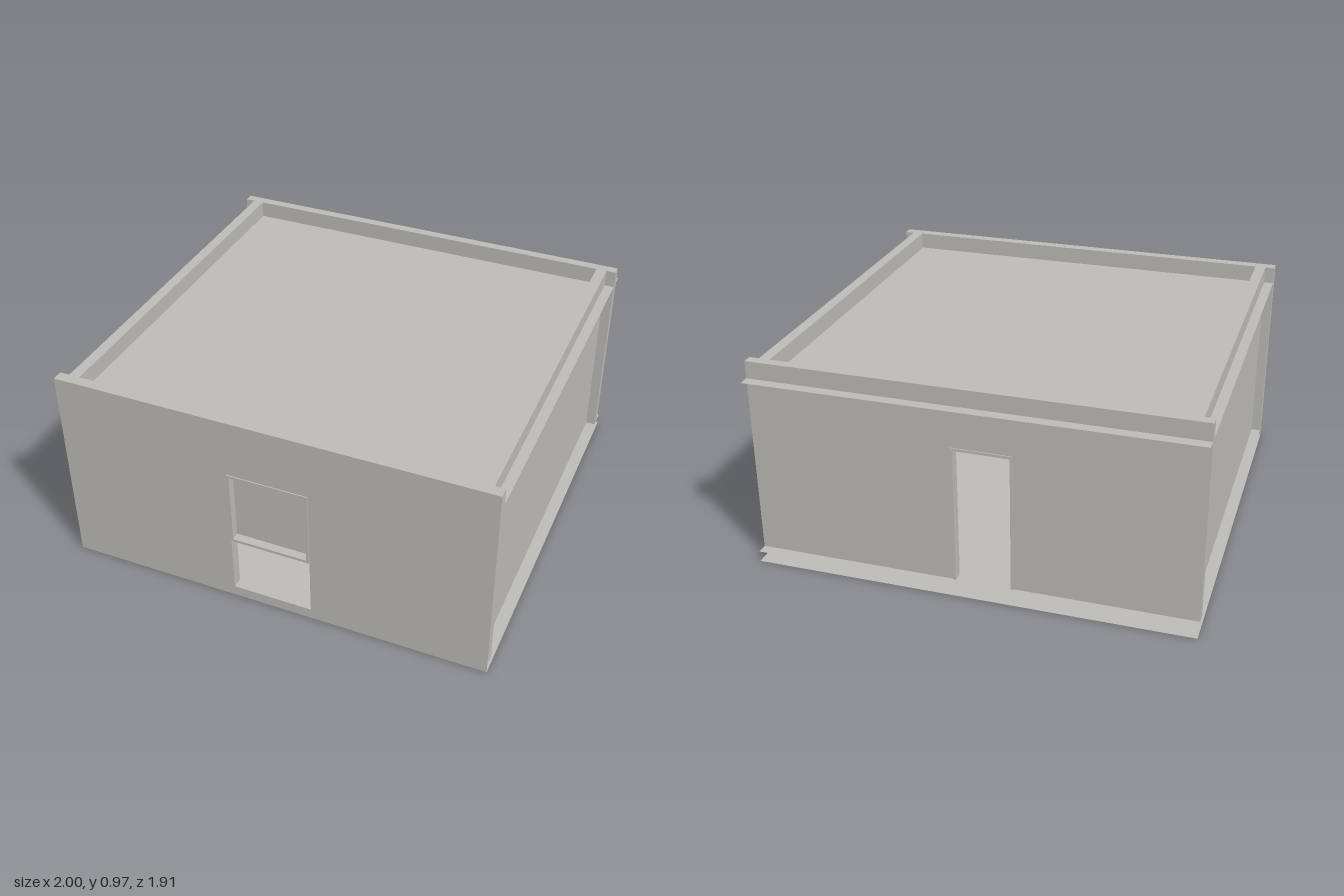
import * as THREE from 'three';

export function createModel() {
  const model = new THREE.Group();
  const grey = new THREE.MeshStandardMaterial({ color: 0xbdbbb8, side: THREE.DoubleSide });
  grey.name = 'plaster grey';

  const add = (name, geometry, x = 0, y = 0, z = 0) => {
    const mesh = new THREE.Mesh(geometry, grey);
    mesh.name = name;
    mesh.position.set(x, y, z);
    model.add(mesh);
    return mesh;
  };
  const shapeOf = (pts) => new THREE.Shape(pts.map(([x, y]) => new THREE.Vector2(x, y)));
  const extrude = (shape, depth) =>
    new THREE.ExtrudeGeometry(shape, { depth, bevelEnabled: false });

  const floorY = 0.05, topY = 0.97, roofY = 0.89;
  const front = 0.95, back = -0.91, ledgeBack = -0.96;

  // Wall outline with an opening that reaches down to the floor
  const notchedWall = (x0, x1, head) => shapeOf([
    [-1, floorY], [x0, floorY], [x0, head], [x1, head], [x1, floorY],
    [1, floorY], [1, topY], [-1, topY],
  ]);
  add('frontWall', extrude(notchedWall(-0.19, 0.185, 0.695), 0.05), 0, 0, front - 0.05);
  add('backWall', extrude(notchedWall(-0.19, 0.085, 0.695), 0.045), 0, 0, back);

  // Side walls between front and back, set in from the slab edges
  const sideLength = 0.9 + 0.865;
  for (const [name, side] of [['leftWall', 1], ['rightWall', -1]]) {
    add(name, new THREE.BoxGeometry(0.05, topY - floorY, sideLength),
      side * 0.93, (topY + floorY) / 2, (0.9 - 0.865) / 2);
  }

  // Floor and roof sheets, open at the sides and back
  const sheet = new THREE.PlaneGeometry(2, front - ledgeBack).rotateX(-Math.PI / 2);
  const sheetZ = (front + ledgeBack) / 2;
  add('floorUnderside', sheet.clone().rotateZ(Math.PI), 0, 0, sheetZ);
  add('floorTop', sheet, 0, floorY, sheetZ);
  add('roof', sheet, 0, roofY, sheetZ);
  add('floorFrontEdge', new THREE.PlaneGeometry(2, floorY), 0, floorY / 2, front);

  // Window frame with a recessed pane in the upper part of the front opening
  const frame = shapeOf([[-0.19, 0.33], [0.185, 0.33], [0.185, 0.698], [-0.19, 0.698]]);
  frame.holes.push(shapeOf([[-0.178, 0.343], [-0.178, 0.686], [0.172, 0.686], [0.172, 0.343]]));
  add('windowFrame', extrude(frame, 0.055), 0, 0, front - 0.05);
  add('windowPane', new THREE.BoxGeometry(0.35, 0.343, 0.008), -0.003, 0.5145, 0.912);

  // Door frame lining the back opening
  const doorFrame = shapeOf([
    [-0.19, floorY], [-0.178, floorY], [-0.178, 0.686], [0.073, 0.686],
    [0.073, floorY], [0.085, floorY], [0.085, 0.698], [-0.19, 0.698],
  ]);
  add('doorFrame', extrude(doorFrame, 0.05), 0, 0, back - 0.005);

  return model;
}
